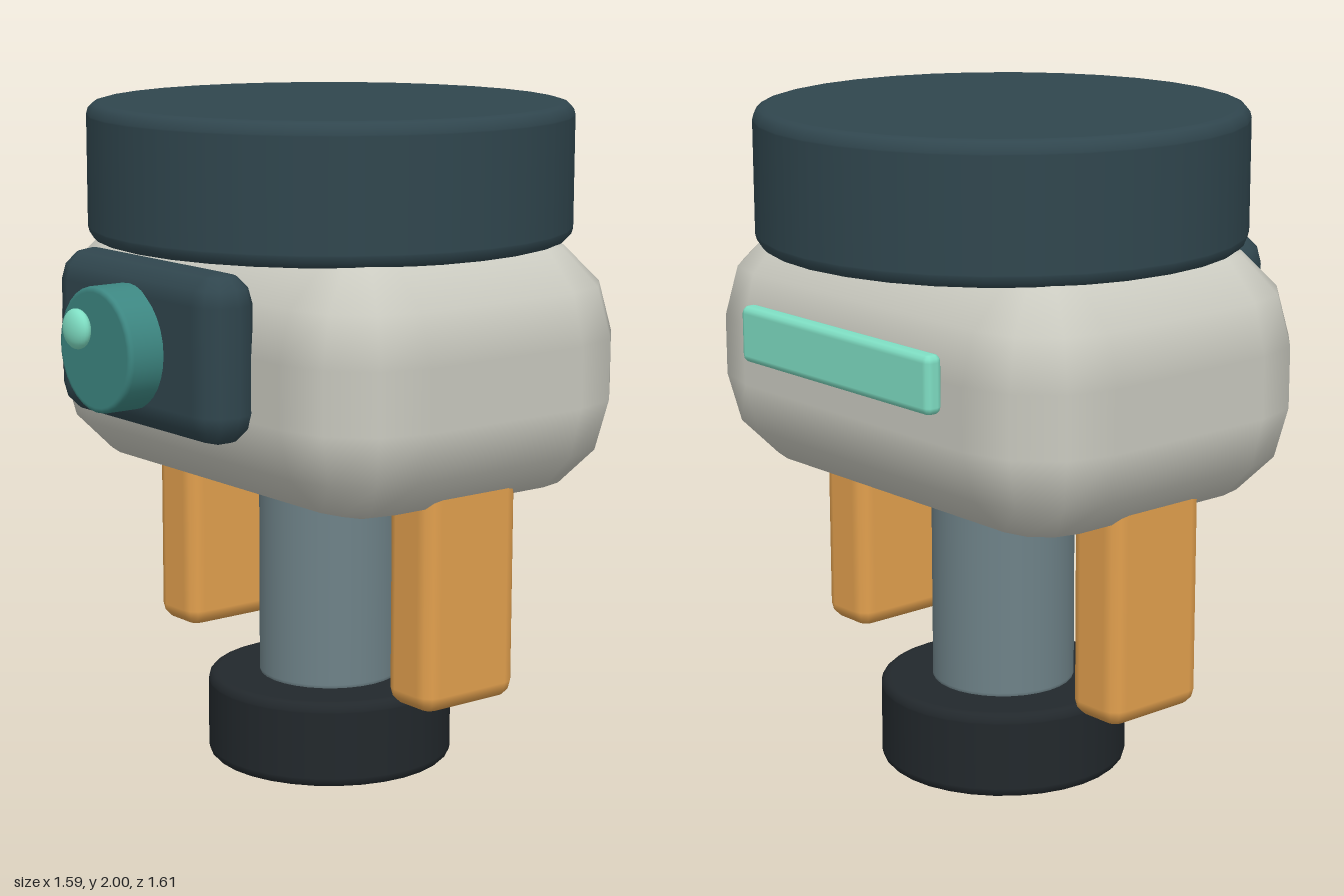
import * as THREE from 'three';

const CZ = -0.088; // depth of the vertical axis shared by the main parts

const COLORS = {
  shell: 0xcacac0, dark: 0x30464e, teal: 0x3d8782, mint: 0x7fdfc4,
  orange: 0xe2a04e, steel: 0x6e8288, black: 0x22282c,
};

// Box with rounded edges and corners: n facets per quarter turn, smooth normals
function roundedBox(w, h, d, r, n = 3) {
  const pos = [], nor = [], idx = [];
  const lats = [], lons = [];
  for (const s of [-1, 1])
    for (let i = 0; i <= n; i++) lats.push([s, ((s < 0 ? i - n : i) / n) * Math.PI / 2]);
  for (let q = 0; q < 4; q++)
    for (let i = 0; i <= n; i++) lons.push([q, (q + i / n) * Math.PI / 2]);
  for (const [sy, lat] of lats) {
    for (const [q, lon] of lons) {
      const sx = q === 0 || q === 3 ? 1 : -1, sz = q < 2 ? 1 : -1;
      const nx = Math.cos(lat) * Math.cos(lon), ny = Math.sin(lat), nz = Math.cos(lat) * Math.sin(lon);
      nor.push(nx, ny, nz);
      pos.push(sx * (w / 2 - r) + r * nx, sy * (h / 2 - r) + r * ny, sz * (d / 2 - r) + r * nz);
    }
  }
  const cols = lons.length, rows = lats.length;
  for (let i = 0; i < rows - 1; i++) {
    for (let j = 0; j < cols; j++) {
      const k = (j + 1) % cols;
      const a = i * cols + j, b = i * cols + k, c = a + cols, e = b + cols;
      idx.push(a, c, b, b, c, e);
    }
  }
  // flat bottom and top
  const s = n + 1, t = (rows - 1) * cols;
  idx.push(0, s, 2 * s, 0, 2 * s, 3 * s);
  idx.push(t, t + 2 * s, t + s, t, t + 3 * s, t + 2 * s);
  const g = new THREE.BufferGeometry();
  g.setAttribute('position', new THREE.Float32BufferAttribute(pos, 3));
  g.setAttribute('normal', new THREE.Float32BufferAttribute(nor, 3));
  g.setIndex(idx);
  return g;
}

// Upright cylinder from y = 0 to h with rounded rims
function roundedCylinder(r, h, b, sides = 32) {
  const p = [[0, 0], [r - b - 0.004, 0]];
  for (let i = 0; i <= 3; i++) {
    const a = (i / 3) * Math.PI / 2;
    p.push([r - b + b * Math.sin(a), b - b * Math.cos(a)]);
  }
  const top = p.map(([x, y]) => [x, h - y]).reverse();
  const wall = [[r, b + 0.004], [r, h - b - 0.004]];
  return new THREE.LatheGeometry([...p, ...wall, ...top].map(([x, y]) => new THREE.Vector2(x, y)), sides);
}

export function createModel() {
  const model = new THREE.Group();
  model.name = 'robot';

  const add = (name, geometry, color, x, y, z) => {
    const mesh = new THREE.Mesh(geometry, new THREE.MeshStandardMaterial({ color }));
    mesh.name = name;
    mesh.position.set(x, y, z);
    model.add(mesh);
    return mesh;
  };

  // Stand: foot and column
  add('foot', roundedCylinder(0.372, 0.26, 0.025), COLORS.black, 0, 0, CZ);
  add('column', roundedCylinder(0.215, 0.8, 0.025), COLORS.steel, 0, 0.24, CZ);

  // Body and the wide round cap
  add('body', roundedBox(1.59, 0.77, 1.15, 0.295), COLORS.shell, 0, 1.255, CZ);
  add('cap', roundedCylinder(0.718, 0.4, 0.035), COLORS.dark, 0, 1.6, CZ);

  // Arms hanging from both sides
  for (const side of [-1, 1]) {
    add(side > 0 ? 'leftArm' : 'rightArm', roundedBox(0.197, 0.8, 0.345, 0.05), COLORS.orange,
      side * 0.574, 0.705, -0.083);
  }

  // Face: plate, lens and highlight
  add('facePlate', roundedBox(0.8, 0.485, 0.19, 0.09), COLORS.dark, 0, 1.342, 0.548);
  add('lens', roundedCylinder(0.18, 0.16, 0.012), COLORS.teal, 0, 1.344, 0.595).rotation.x = Math.PI / 2;
  add('lensHighlight', new THREE.SphereGeometry(0.058, 24, 16), COLORS.mint, -0.056, 1.4, 0.775)
    .scale.z = 0.52;

  // Light strip at the back
  add('backStrip', roundedBox(0.86, 0.168, 0.057, 0.022), COLORS.mint, 0, 1.341, -0.697);

  return model;
}
